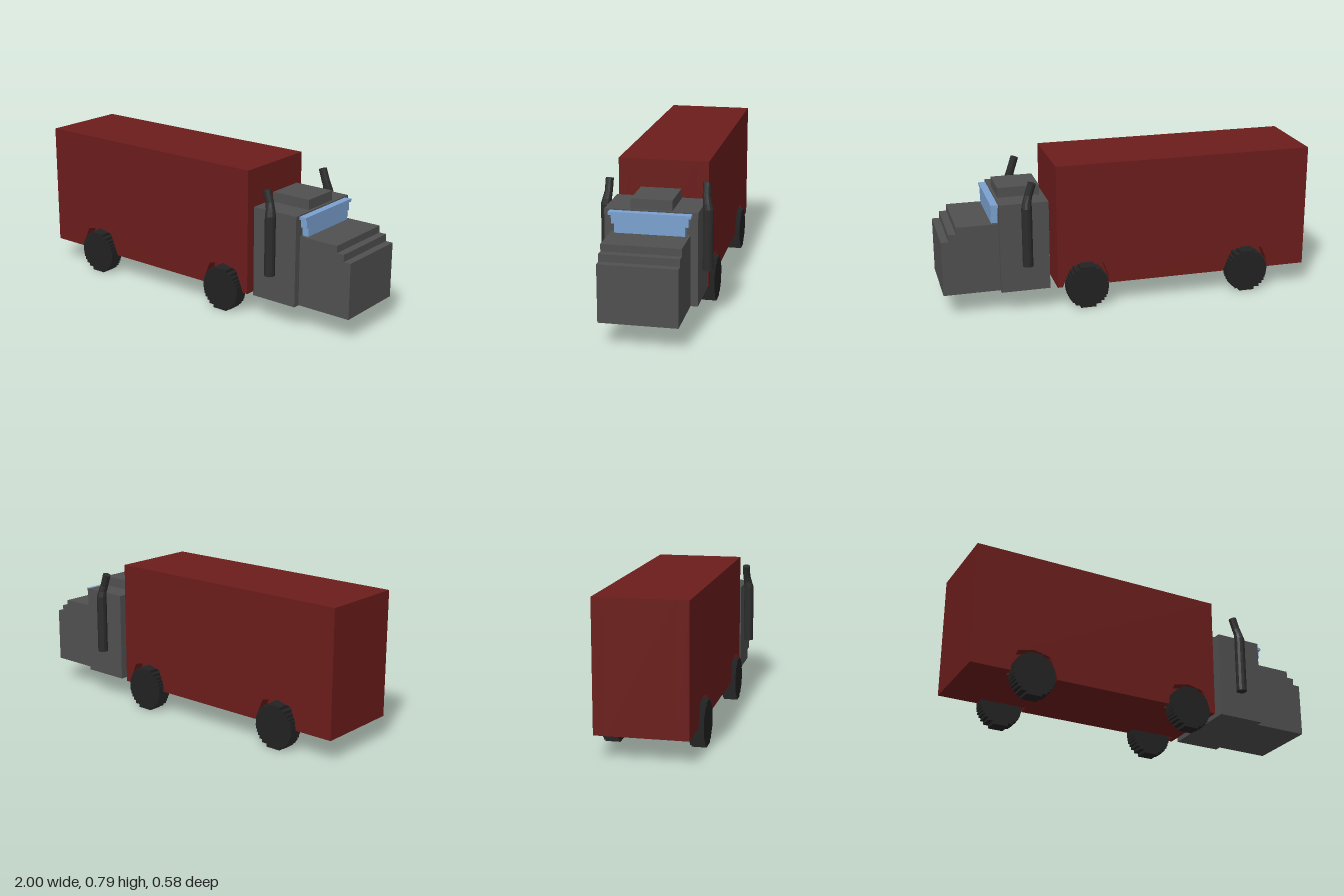
import * as THREE from 'three';

const mat = (color) => new THREE.MeshStandardMaterial({ color, flatShading: true });

export function createModel() {
  const truck = new THREE.Group();
  const red = mat(0x6b1d1b), grey = mat(0x505050), black = mat(0x222222);
  const pipe = mat(0x2c2c2c), glass = mat(0x7ba2d0), light = mat(0xaaaaaa);

  const add = (name, geometry, material) => {
    const mesh = new THREE.Mesh(geometry, material);
    mesh.name = name;
    truck.add(mesh);
    return mesh;
  };
  // box from its limits, symmetric across z
  const box = (name, x0, x1, y0, y1, halfZ, material) =>
    add(name, new THREE.BoxGeometry(x1 - x0, y1 - y0, halfZ * 2), material)
      .position.set((x0 + x1) / 2, (y0 + y1) / 2, 0);
  const extrude = (points, depth) => new THREE.ExtrudeGeometry(
    new THREE.Shape(points.map(([x, y]) => new THREE.Vector2(x, y))),
    { depth, bevelEnabled: false });

  const axles = [-0.665, 0.237];

  // Cargo body: inner core plus side slabs notched over the wheels
  box('cargoCore', -1, 0.4, 0.12, 0.79, 0.175, red);
  const arch = [[-0.122, 0.12], [-0.118, 0.165], [-0.088, 0.237], [0, 0.257],
    [0.088, 0.237], [0.118, 0.165], [0.135, 0.12]];
  const side = [[-1, 0.12]];
  for (const ax of axles) side.push(...arch.map(([x, y]) => [ax + x, y]));
  side.push([0.4, 0.12], [0.4, 0.79], [-1, 0.79]);
  const sideGeo = extrude(side, 0.06);
  for (const z of [0.175, -0.235]) add('cargoSide', sideGeo, red).position.z = z;

  // Cab, roof fairing, stepped hood
  box('cab', 0.44, 0.7, 0.125, 0.607, 0.235, grey);
  box('roofFairing', 0.463, 0.685, 0.607, 0.66, 0.105, grey);
  const hood = [[0.7, 0.125], [1, 0.125], [1, 0.42], [0.96, 0.42], [0.96, 0.458],
    [0.92, 0.458], [0.92, 0.495], [0.7, 0.495]];
  add('hood', extrude(hood, 0.396), grey).position.z = -0.198;

  // Windshield, widening in steps toward the roof
  box('windshieldLower', 0.7, 0.735, 0.495, 0.542, 0.177, glass);
  box('windshieldMiddle', 0.7, 0.735, 0.542, 0.585, 0.193, glass);
  box('windshieldTop', 0.7, 0.738, 0.585, 0.601, 0.207, glass);

  // Couplings between cab and cargo
  for (const y of [0.215, 0.355]) box('coupling', 0.39, 0.45, y, y + 0.052, 0.04, light);

  // Wheels: stepped disc outline
  const rows = 14, radius = 0.115, outline = [];
  for (let i = 0; i < rows; i++) {
    const y0 = -radius + (2 * radius * i) / rows, y1 = y0 + (2 * radius) / rows;
    const mid = (y0 + y1) / 2;
    const w = Math.sqrt(radius * radius - mid * mid) * 0.98;
    outline.push([w, y0], [w, y1]);
  }
  const wheelShape = [...outline, ...outline.map(([x, y]) => [-x, y]).reverse()];
  const wheelGeo = extrude(wheelShape, 0.077);
  for (const x of axles) for (const z of [0.182, -0.259])
    add('wheel', wheelGeo, black).position.set(x, radius, z);

  // Exhaust stacks: rings [x, y, z, radius], top to bottom, bent to the rear
  const rings = [[0.528, 0.718, 0.249, 0.021], [0.548, 0.655, 0.25, 0.021],
    [0.558, 0.62, 0.256, 0.024], [0.561, 0.59, 0.261, 0.028], [0.561, 0.273, 0.261, 0.028]];
  for (const s of [1, -1]) {
    const geo = new THREE.CylinderGeometry(1, 1, 1, 12, rings.length - 1);
    const p = geo.attributes.position;
    for (let i = 0; i < p.count; i++) {
      const k = Math.round((0.5 - p.getY(i)) * (rings.length - 1));
      const [cx, cy, cz, r] = rings[k];
      const tilt = k < 2 ? 0.3 : 0; // slanted mouth
      p.setXYZ(i, cx + p.getX(i) * r, cy + p.getX(i) * r * tilt, s * cz + p.getZ(i) * r);
    }
    geo.computeVertexNormals();
    add('exhaustStack', geo, pipe);
  }

  return truck;
}
